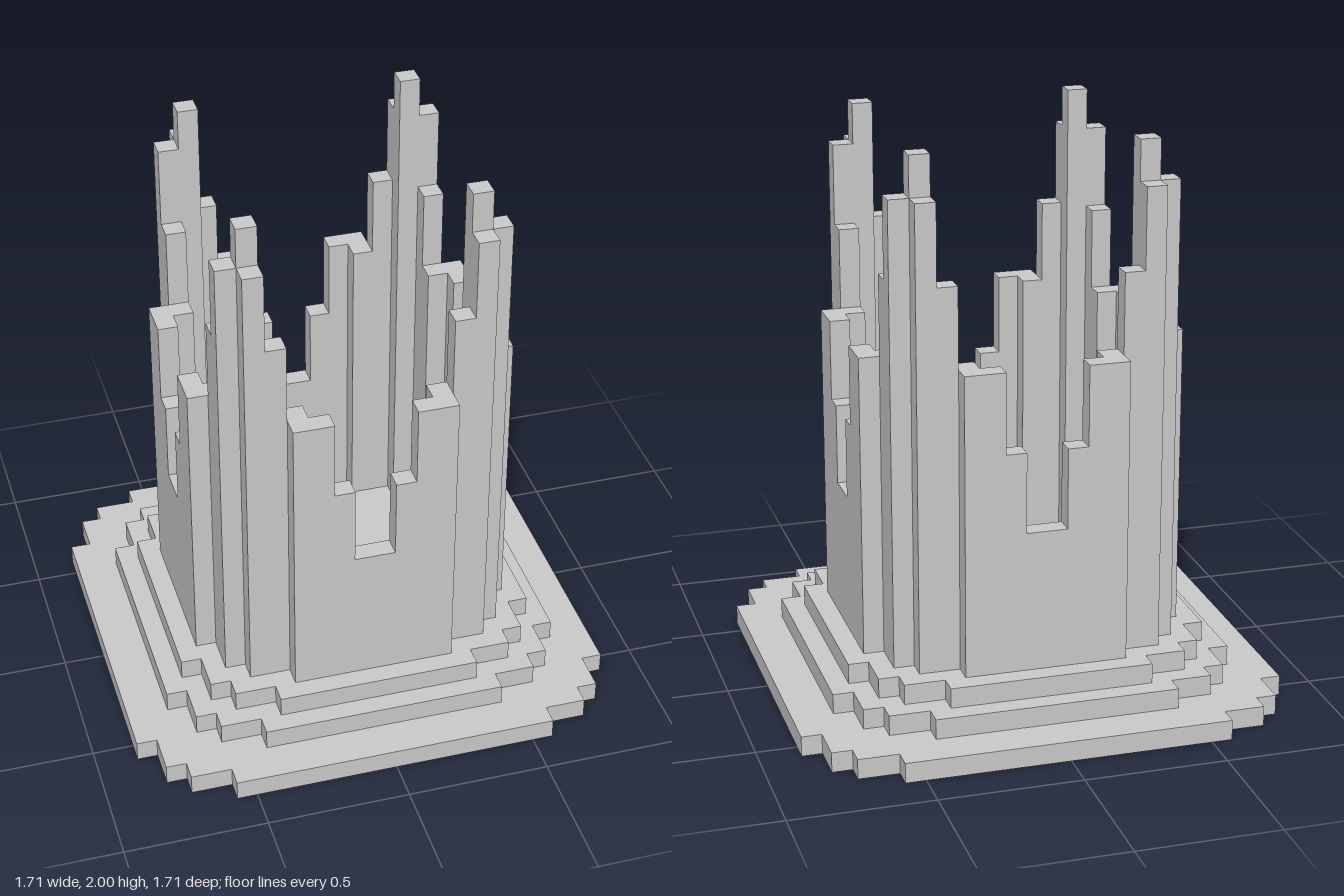
import * as THREE from 'three';

const U = 1 / 14; // one voxel
const material = new THREE.MeshStandardMaterial({ color: 0xcccccc, flatShading: true });

function addMesh(parent, geometry, name) {
  const mesh = new THREE.Mesh(geometry, material);
  mesh.name = name;
  parent.add(mesh);
  return mesh;
}

// Rounded square plate with voxel-stepped corners, a = half width
function steppedPlate(a) {
  const quarter = [[a, a - 4], [a - 1, a - 4], [a - 1, a - 2], [a - 2, a - 2],
    [a - 2, a - 1], [a - 4, a - 1], [a - 4, a]];
  const points = [];
  for (let q = 0; q < 4; q++) {
    for (const p of quarter) {
      let [x, y] = p;
      for (let i = 0; i < q; i++) [x, y] = [-y, x];
      points.push(new THREE.Vector2(x, y));
    }
  }
  const geometry = new THREE.ExtrudeGeometry(new THREE.Shape(points), { depth: 1, bevelEnabled: false });
  return geometry.rotateX(-Math.PI / 2);
}

// Flat wall with a stepped V notch in its top edge
function wallPanel() {
  const right = [[1, 10], [1, 14], [2, 14], [2, 18], [4, 18], [4, 3]];
  const left = right.map(([x, y]) => [-x, y]).reverse();
  const shape = new THREE.Shape([...left, ...right].map(([x, y]) => new THREE.Vector2(x, y)));
  return new THREE.ExtrudeGeometry(shape, { depth: 1, bevelEnabled: false }).translate(0, 0, 7);
}

export function createModel() {
  const model = new THREE.Group();
  model.name = 'steppedCrown';
  const voxels = new THREE.Group();
  voxels.name = 'body';
  voxels.scale.setScalar(U);
  model.add(voxels);

  // Three stacked base steps
  [12, 10, 9].forEach((half, level) => {
    addMesh(voxels, steppedPlate(half), 'baseStep' + (level + 1)).position.y = level;
  });

  // Corner tower columns: cell x, cell z, top height
  const columns = [[3, 6, 18], [4, 6, 22], [5, 6, 26], [5, 5, 28], [6, 5, 26], [6, 4, 22], [6, 3, 18]];

  // Four identical sides, each a wall and a corner tower
  const panel = wallPanel();
  for (let side = 0; side < 4; side++) {
    const group = new THREE.Group();
    group.name = 'side' + (side + 1);
    group.rotation.y = side * Math.PI / 2;
    addMesh(group, panel, 'notchedWall');
    const tower = new THREE.Group();
    tower.name = 'cornerTower';
    for (const [x, z, top] of columns) {
      const box = new THREE.BoxGeometry(1, top - 3, 1);
      addMesh(tower, box, 'towerColumn').position.set(x + 0.5, (top + 3) / 2, z + 0.5);
    }
    group.add(tower);
    voxels.add(group);
  }
  return model;
}
